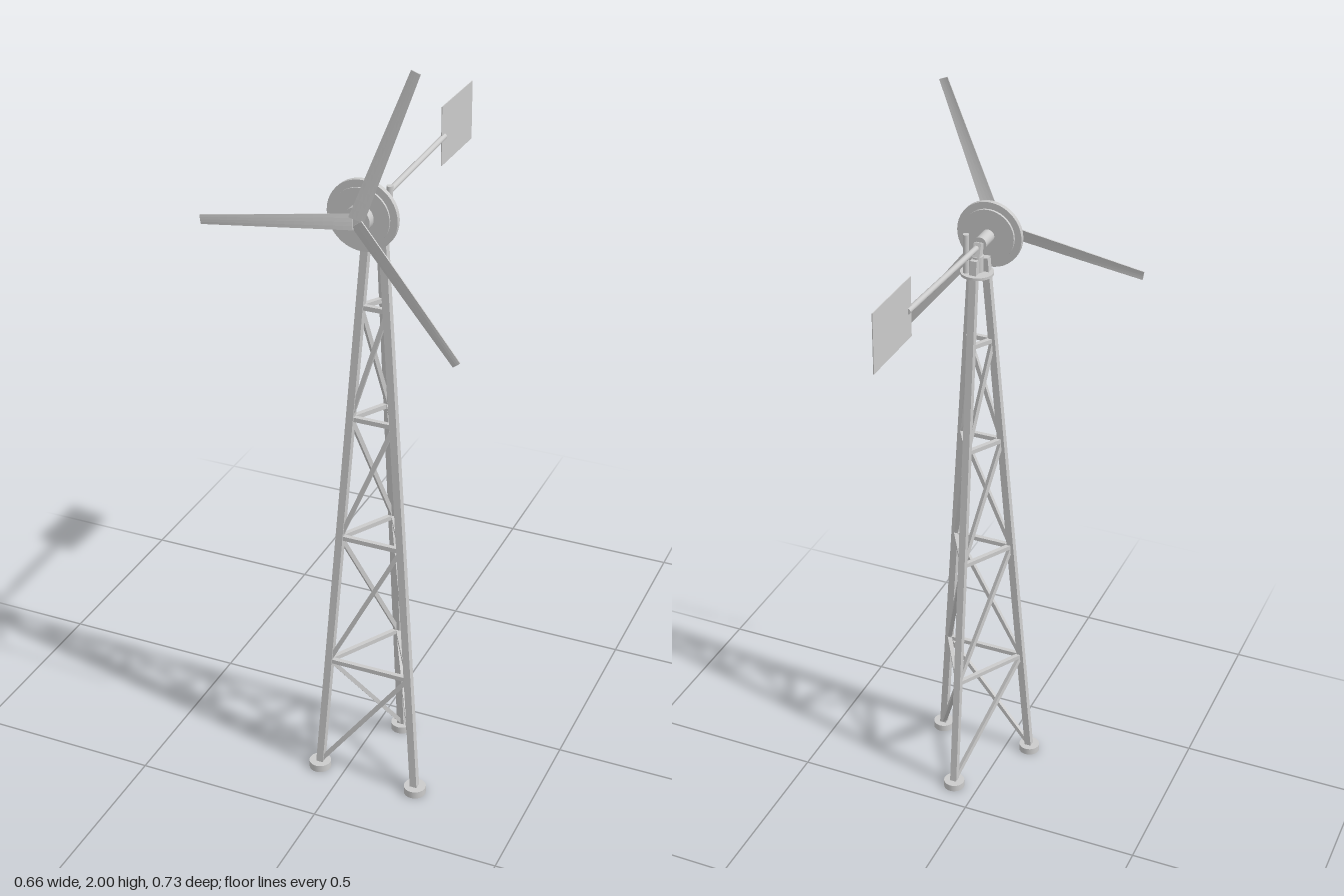
import * as THREE from 'three';

const mat = new THREE.MeshStandardMaterial({ color: 0xcccccc, flatShading: true });
const smooth = new THREE.MeshStandardMaterial({ color: 0xcccccc });
const V = (x, y, z) => new THREE.Vector3(x, y, z);
const CX = 0.068, CZ = 0.235, HUB_Y = 1.625;

export function createModel() {
  const root = new THREE.Group();
  root.name = 'windTurbine';

  const add = (name, geo, pos, parent, material = mat) => {
    const m = new THREE.Mesh(geo, material);
    m.name = name;
    m.position.copy(pos);
    parent.add(m);
    return m;
  };

  // square bar between two points; 'up' sets the roll of its section
  const bar = (name, a, b, w, h, up, parent) => {
    const m = add(name, new THREE.BoxGeometry(w, h, a.distanceTo(b)), a.clone().add(b).multiplyScalar(0.5), parent);
    m.up.copy(up);
    m.lookAt(b);
  };

  // disc or cylinder along z, centred on the rotor axis
  const axial = (name, r, z0, z1, parent) => {
    const g = new THREE.CylinderGeometry(r, r, z1 - z0, 40).rotateX(Math.PI / 2);
    add(name, g, V(CX, HUB_Y, (z0 + z1) / 2), parent, smooth);
  };

  // upright cylinder
  const upright = (name, r, x, z, y0, y1, parent) =>
    add(name, new THREE.CylinderGeometry(r, r, y1 - y0, 28), V(x, (y0 + y1) / 2, z), parent, smooth);

  // three-legged lattice tower
  const tower = new THREE.Group();
  tower.name = 'tower';
  root.add(tower);
  const angles = [30, 150, 270].map(THREE.MathUtils.degToRad);
  const legPoint = (i, y) => {
    const r = 0.158 - 0.0865 * y, a = angles[i % 3];
    return V(CX + r * Math.cos(a), y, CZ + r * Math.sin(a));
  };
  const levels = [0.02, 0.345, 0.72, 1.06, 1.36];
  for (let i = 0; i < 3; i++) {
    const foot = legPoint(i, 0);
    upright('foot', 0.029, foot.x, foot.z, 0, 0.02, tower);
    bar('leg', legPoint(i, 0.015), legPoint(i, 1.595), 0.019, 0.019, V(0, 0, 1), tower);
    const mid = angles[i] + Math.PI / 3;
    const out = V(Math.cos(mid), 0, Math.sin(mid));
    for (let k = 1; k < levels.length; k++) {
      // horizontal ring member and the single diagonal below it
      bar('girt', legPoint(i, levels[k]), legPoint(i + 1, levels[k]), 0.012, 0.012, out, tower);
      bar('brace', legPoint(i, levels[k]), legPoint(i + 1, levels[k - 1]), 0.011, 0.011, out, tower);
    }
  }

  // yaw head on top of the tower
  const head = new THREE.Group();
  head.name = 'yawHead';
  root.add(head);
  upright('turntable', 0.043, CX, CZ - 0.003, 1.551, 1.558, head);
  upright('yawTube', 0.016, CX, CZ, 1.558, 1.6, head);
  upright('sidePost', 0.008, 0.091, 0.215, 1.555, 1.662, head);
  const bracket = add('bracket', new THREE.BoxGeometry(0.02, 0.045, 0.02), V(CX, 1.61, 0.236), head);
  bracket.rotation.x = 0.35;
  axial('mainShaft', 0.017, 0.25, 0.304, head);

  // disc generator
  const generator = new THREE.Group();
  generator.name = 'generator';
  root.add(generator);
  axial('generatorCore', 0.07, 0.302, 0.325, generator);
  axial('generatorRim', 0.088, 0.309, 0.322, generator);
  axial('generatorPlate', 0.072, 0.327, 0.331, generator);
  axial('rotorShaft', 0.02, 0.323, 0.328, generator);

  // rotor: hub and three tapered, twisted blades
  const rotor = new THREE.Group();
  rotor.name = 'rotor';
  rotor.position.set(CX, HUB_Y, 0.359);
  root.add(rotor);
  const hub = new THREE.CylinderGeometry(0.033, 0.033, 0.026, 32).rotateX(Math.PI / 2);
  add('hub', hub, V(0, 0, -0.018), rotor, smooth);
  const R0 = 0.006, R1 = 0.401;
  const blade = new THREE.BoxGeometry(R1 - R0, 1, 1, 16, 4, 1);
  const p = blade.attributes.position;
  for (let i = 0; i < p.count; i++) {
    const t = p.getX(i) / (R1 - R0) + 0.5, s = p.getY(i);
    const width = THREE.MathUtils.lerp(0.038, 0.023, t);
    const twist = THREE.MathUtils.lerp(0.28, 0.05, t);
    const y = s * width;
    const z = p.getZ(i) * 0.003 + 0.003 * (0.25 - s * s);
    p.setXYZ(i, R0 + t * (R1 - R0), y * Math.cos(twist) - z * Math.sin(twist), y * Math.sin(twist) + z * Math.cos(twist));
  }
  blade.computeVertexNormals();
  for (let i = 0; i < 3; i++) {
    const m = add('blade', blade, V(0, 0, 0), rotor);
    m.rotation.z = THREE.MathUtils.degToRad(68.7 + 120 * i);
  }

  // tail boom and vane
  const tail = new THREE.Group();
  tail.name = 'tail';
  root.add(tail);
  const a = V(CX, 1.623, 0.225), b = V(CX, 1.638, -0.182);
  const boom = add('tailBoom', new THREE.CylinderGeometry(0.0075, 0.0075, a.distanceTo(b), 16).rotateX(Math.PI / 2),
    a.clone().add(b).multiplyScalar(0.5), tail, smooth);
  boom.lookAt(b);
  add('tailVane', new THREE.BoxGeometry(0.002, 0.155, 0.206), V(CX, 1.643, -0.266), tail);

  return root;
}
